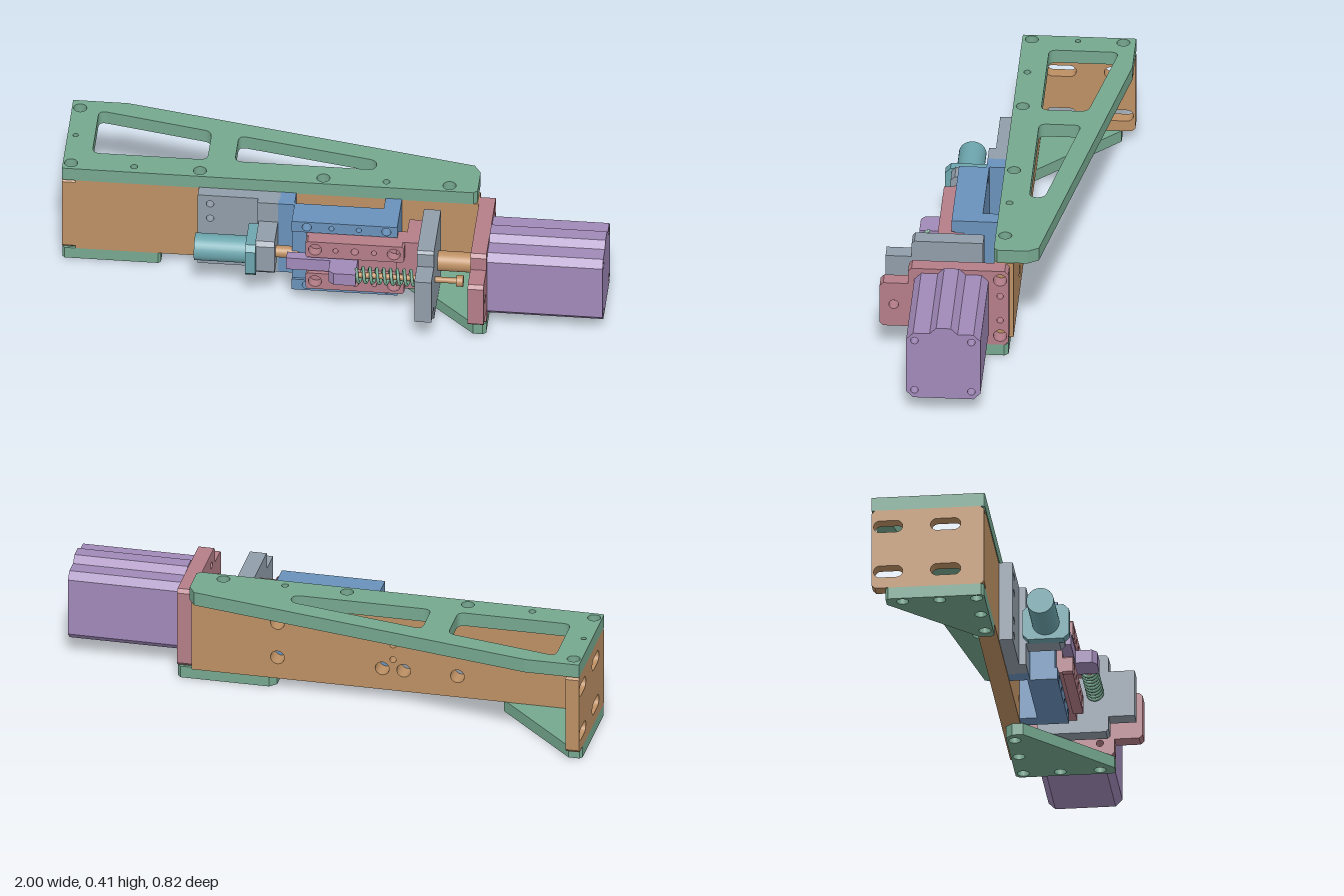
import * as THREE from 'three';

const mat = (name, color) => {
  const m = new THREE.MeshStandardMaterial({ color });
  m.name = name;
  return m;
};

export function createModel() {
  const green = mat('green', 0x76a890), orange = mat('orange', 0xbd9064), pink = mat('pink', 0xb57e88),
    purple = mat('purple', 0xa189b8), gray = mat('gray', 0x919da9), blue = mat('blue', 0x6a92bb), teal = mat('teal', 0x6da6ae);
  const root = new THREE.Group();
  const add = (name, geo, material) => {
    const m = new THREE.Mesh(geo, material);
    m.name = name;
    root.add(m);
    return m;
  };

  // Box given by its ranges on each axis
  const box = (name, material, x0, x1, y0, y1, z0, z1) =>
    add(name, new THREE.BoxGeometry(x1 - x0, y1 - y0, z1 - z0)
      .translate((x0 + x1) / 2, (y0 + y1) / 2, (z0 + z1) / 2), material);

  // Cylinder lying along x
  const rod = (name, material, x0, x1, y, z, r) =>
    add(name, new THREE.CylinderGeometry(r, r, x1 - x0, 32).rotateZ(Math.PI / 2)
      .translate((x0 + x1) / 2, y, z), material);

  // Holes: round, straight slot along the first axis, or polygon
  const round = (u, v, r) => new THREE.Path().absarc(u, v, r, 0, Math.PI * 2, true);
  const slot = (u0, u1, v, r) => new THREE.Path()
    .absarc(u1 - r, v, r, -Math.PI / 2, Math.PI / 2, false)
    .absarc(u0 + r, v, r, Math.PI / 2, Math.PI * 1.5, false);
  const poly = pts => new THREE.Path(pts.map(p => new THREE.Vector2(...p)));
  // Polygon window with softened corners
  const softPoly = (pts, r) => {
    const v = pts.map(p => new THREE.Vector2(...p)), path = new THREE.Path();
    v.forEach((p, i) => {
      const toward = q => p.clone().add(q.clone().sub(p).setLength(r));
      const a = toward(v[(i + v.length - 1) % v.length]), b = toward(v[(i + 1) % v.length]);
      if (i) path.lineTo(a.x, a.y); else path.moveTo(a.x, a.y);
      path.quadraticCurveTo(p.x, p.y, b.x, b.y);
    });
    path.closePath();
    return path;
  };

  // Plate from a to b on an axis; outline is (x,z) for y, (z,y) for x, (x,y) for z
  const plate = (name, material, axis, a, b, pts, holes = []) => {
    const s = new THREE.Shape(pts.map(p => new THREE.Vector2(...p)));
    s.holes.push(...holes);
    const g = new THREE.ExtrudeGeometry(s, { depth: b - a, bevelEnabled: false, curveSegments: 12 });
    if (axis === 'y') g.rotateX(Math.PI / 2).translate(0, b, 0);
    else if (axis === 'x') g.rotateY(-Math.PI / 2).translate(b, 0, 0);
    else g.translate(0, 0, a);
    return add(name, g, material);
  };
  const rect = (u0, u1, v0, v1, c = 0) => c
    ? [[u0 + c, v0], [u1 - c, v0], [u1, v0 + c], [u1, v1 - c], [u1 - c, v1], [u0 + c, v1], [u0, v1 - c], [u0, v0 + c]]
    : [[u0, v0], [u1, v0], [u1, v1], [u0, v1]];

  // Top truss plate with two windows and screw holes
  plate('topPlate', green, 'y', 0.355, 0.407,
    [[-1, 0], [-1, -0.41], [-0.8, -0.41], [0.49, -0.16], [0.515, -0.12], [0.515, -0.01], [0.5, 0.003], [-0.99, 0.003]],
    [softPoly([[-0.9, -0.355], [-0.48, -0.27], [-0.48, -0.1], [-0.9, -0.1]], 0.03),
      softPoly([[-0.38, -0.255], [0.135, -0.155], [0.135, -0.1], [-0.38, -0.1]], 0.03),
      ...[-0.97, -0.5, -0.05, 0.41].map(x => round(x, -0.032, 0.024)),
      ...[-0.74, 0.18].map(x => round(x, -0.032, 0.013)),
      round(-0.97, -0.365, 0.024), round(-0.97, -0.2, 0.01)]);

  // Long wall and slotted end plate
  const wallHoles = [];
  for (const x of [0.2, -0.19, -0.27, -0.47])
    for (const y of [0.13, 0.27]) wallHoles.push(round(x, y, 0.026));
  for (const y of [0.17, 0.23]) wallHoles.push(round(-0.23, y, 0.012));
  plate('wall', orange, 'z', -0.07, 0, rect(-0.95, 0.52, 0.045, 0.355), wallHoles);
  plate('endPlate', orange, 'x', -1, -0.95, rect(-0.41, 0, 0.045, 0.355, 0.012),
    [0.11, 0.29].flatMap(y => [slot(-0.195, -0.085, y, 0.023), slot(-0.405 + 0.002, -0.297, y, 0.023)]));

  // Triangular gussets underneath
  plate('rearGusset', green, 'y', 0, 0.045,
    [[-1, -0.35], [-0.99, -0.36], [-0.95, -0.36], [-0.64, -0.055], [-0.64, -0.01], [-0.65, 0], [-0.99, 0], [-1, -0.01]],
    [[-0.97, -0.3], [-0.97, -0.165], [-0.97, -0.03], [-0.83, -0.03], [-0.69, -0.03]].map(p => round(...p, 0.022)));
  plate('frontGusset', green, 'y', 0, 0.045,
    [[0.21, -0.03], [0.235, -0.055], [0.565, -0.055], [0.577, -0.04], [0.577, 0.3], [0.565, 0.31], [0.53, 0.31], [0.21, 0.01]],
    [[0.26, -0.025], [0.4, -0.025], [0.545, -0.025], [0.545, 0.11], [0.545, 0.255]].map(p => round(...p, 0.022)));

  // Motor mount plate with a tab
  const tabbed = (z0, y0, y1, c) => [[z0 + c, y0], [0.297, y0], [0.31, y0 + c], [0.31, 0.11], [0.4, 0.11], [0.413, 0.122],
    [0.413, 0.278], [0.4, 0.29], [0.31, 0.29], [0.31, y1 - c], [0.297, y1], [z0 + c, y1], [z0, y1 - c], [z0, y0 + c]];
  const motorBolts = [0.05, 0.257].flatMap(z => [0.096, 0.305].map(y => [z, y]));
  plate('motorMount', pink, 'x', 0.52, 0.578, tabbed(-0.055, 0.045, 0.355, 0.013),
    [round(0.362, 0.2, 0.018), ...motorBolts.map(p => round(...p, 0.013)),
      ...[0.083, 0.317].map(y => round(-0.025, y, 0.024)),
      ...[0.148, 0.25].map(y => round(-0.025, y, 0.012))]);

  // Motor with a raised cable ridge
  plate('motor', purple, 'x', 0.578, 1,
    [[0.042, 0.065], [0.262, 0.065], [0.287, 0.09], [0.287, 0.31], [0.262, 0.336], [0.202, 0.336], [0.178, 0.36],
      [0.125, 0.36], [0.1, 0.336], [0.042, 0.336], [0.017, 0.31], [0.017, 0.09]],
    motorBolts.map(p => round(...p, 0.014)));
  rod('motorCoupling', orange, 0.385, 0.52, 0.2, 0.148, 0.037);

  // Bearing plate in front of the mount
  plate('bearingPlate', gray, 'x', 0.325, 0.387,
    [[0.05, 0.05], [0.3, 0.05], [0.31, 0.06], [0.31, 0.11], [0.405, 0.11], [0.405, 0.29], [0.31, 0.29], [0.31, 0.345],
      [0.3, 0.355], [0.05, 0.355]]);

  // Left bracket with actuator
  plate('bracketFlange', gray, 'z', 0, 0.05, rect(-0.5, -0.2, 0.05, 0.358),
    [0.085, 0.145, 0.255, 0.32].map(y => round(-0.455, y, 0.014)));
  box('bracketWeb', gray, -0.28, -0.205, 0.05, 0.358, 0.05, 0.075);
  plate('bracketBlock', gray, 'x', -0.275, -0.205, rect(0.06, 0.21, 0.135, 0.275, 0.015));
  rod('actuatorBody', teal, -0.5, -0.3, 0.2, 0.15, 0.05);
  plate('actuatorFlange', teal, 'x', -0.31, -0.272, rect(0.065, 0.235, 0.135, 0.27, 0.02));
  rod('actuatorShaft', orange, -0.205, -0.12, 0.2, 0.15, 0.022);

  // Blue slide: feet, deck and raised edge rails with screw holes
  box('slideFootLeft', blue, -0.205, -0.145, 0.05, 0.358, 0, 0.075);
  box('slideFootRight', blue, 0.18, 0.24, 0.05, 0.358, 0, 0.075);
  box('slideDeck', blue, -0.145, 0.24, 0.09, 0.318, 0.065, 0.165);
  for (const y of [0.05, 0.312])
    plate('slideRail', blue, 'z', 0.065, 0.175, rect(-0.145, 0.24, y, y + 0.046),
      [[-0.09, 0.017], [0, 0.01], [0.1, 0.01], [0.2, 0.017]].map(([x, r]) => round(x, y + 0.023, r)));

  // Pink carriage: base, two bored bars and an end arm
  box('carriageBase', pink, -0.09, 0.27, 0.1, 0.308, 0.16, 0.187);
  for (const y of [0.096, 0.238])
    plate('carriageBar', pink, 'z', 0.187, 0.225, rect(-0.09, 0.27, y, y + 0.07, 0.008),
      [[-0.055, 0.024], [0.02, 0.01], [0.09, 0.014], [0.16, 0.01], [0.232, 0.024]].map(([x, r]) => round(x, y + 0.035, r)));
  box('carriageArm', pink, 0.24, 0.325, 0.1, 0.308, 0.13, 0.195);
  box('carriageArmRoot', pink, 0.272, 0.325, 0.1, 0.308, 0.055, 0.13);

  // Nut bar with its chamfered pusher
  box('nutBar', purple, -0.16, 0.1, 0.178, 0.228, 0.187, 0.225);
  plate('nutPusher', purple, 'y', 0.178, 0.228, [[0, 0.22], [0.1, 0.22], [0.1, 0.302], [0.02, 0.302], [0, 0.285]]);

  // Guide rod and coil spring
  rod('guideRod', orange, 0.09, 0.49, 0.2, 0.263, 0.011);
  rod('guideRodHead', orange, 0.465, 0.49, 0.2, 0.263, 0.021);
  const coil = Array.from({ length: 145 }, (_, i) => {
    const a = i / 144 * Math.PI * 18;
    return new THREE.Vector3(0.1 + 0.225 * i / 144, 0.2 + 0.027 * Math.cos(a), 0.263 + 0.027 * Math.sin(a));
  });
  add('spring', new THREE.TubeGeometry(new THREE.CatmullRomCurve3(coil), 216, 0.006, 8), green);

  return root;
}
